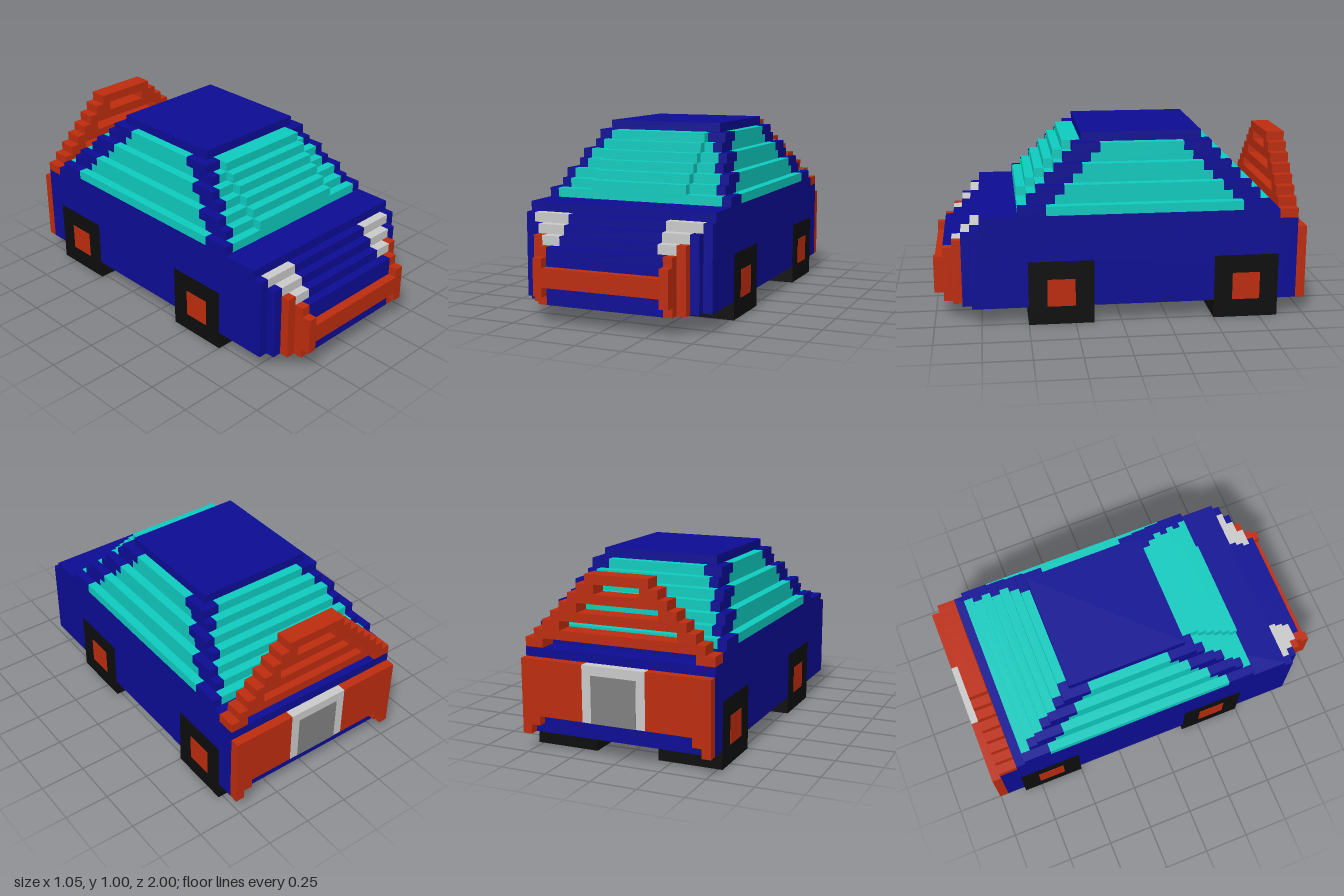
import * as THREE from 'three';

const U = 0.05; // block size
const mat = (name, hex) => {
  const m = new THREE.MeshStandardMaterial({ color: hex });
  m.name = name;
  return m;
};

export function createModel() {
  const blue = mat('body blue', 0x0c0c94);
  const cyan = mat('glass cyan', 0x0ecabe);
  const red = mat('trim red', 0xbc2c0e);
  const black = mat('tyre black', 0x0d0d0d);
  const white = mat('lamp white', 0xc9c9c9);
  const grey = mat('plate grey', 0x808080);

  const car = new THREE.Group();
  car.name = 'blockCar';
  const part = (name) => {
    const g = new THREE.Group();
    g.name = name;
    car.add(g);
    return g;
  };
  // Box given by its limits on each axis
  const box = (parent, name, m, x0, x1, y0, y1, z0, z1) => {
    const mesh = new THREE.Mesh(new THREE.BoxGeometry(x1 - x0, y1 - y0, z1 - z0), m);
    mesh.position.set((x0 + x1) / 2, (y0 + y1) / 2, (z0 + z1) / 2);
    mesh.name = name;
    parent.add(mesh);
  };
  // Same box on both sides
  const pair = (parent, name, m, x0, x1, ...rest) => {
    box(parent, name + 'Left', m, x0, x1, ...rest);
    box(parent, name + 'Right', m, -x1, -x0, ...rest);
  };

  // Lower body with gaps in the sides for the wheels
  const body = part('body');
  box(body, 'upperBody', blue, -0.525, 0.525, 0.35, 0.6, -0.85, 0.75);
  box(body, 'floor', blue, -0.475, 0.475, 0.1, 0.35, -0.85, 0.75);
  box(body, 'tail', blue, -0.525, 0.525, 0.1, 0.55, -0.95, -0.85);
  for (const [z0, z1] of [[-0.5, 0.15], [0.5, 0.75]]) {
    pair(body, 'sill', blue, 0.475, 0.525, 0.1, 0.35, z0, z1);
  }

  // Stepped nose: each slice is one block lower and narrower
  const nose = part('nose');
  for (let i = 0; i < 4; i++) {
    const z0 = 0.75 + i * U, z1 = z0 + U, top = 0.55 - i * U, hw = 0.525 - i * U;
    const side = i < 2 ? blue : red;
    pair(nose, i < 2 ? 'noseCorner' : 'bumperCorner', side, hw - U, hw, 0.1, top, z0, z1);
    const inner = hw - U;
    box(nose, 'noseSlice', blue, -inner, inner, 0.1, top - U, z0, z1);
    const mid = i < 3 ? 0.275 : inner;
    box(nose, 'noseTop', blue, -mid, mid, top - U, top, z0, z1);
    if (i < 3) pair(nose, 'headlight', white, 0.275, inner, top - U, top, z0, z1);
  }
  pair(nose, 'bumperEnd', red, 0.325, 0.375, 0.15, 0.35, 0.95, 1);
  box(nose, 'bumperBar', red, -0.325, 0.325, 0.2, 0.3, 0.95, 1);

  // Cabin layers: half width of the layer, half width of its front and rear glass
  const cabin = part('cabin');
  const layers = [
    [0.525, 0.475], [0.475, 0.425], [0.475, 0.425], [0.425, 0.375],
    [0.425, 0.375], [0.375, 0.325], [0.375, 0.275],
  ];
  layers.forEach(([hw, gw], i) => {
    const y0 = 0.6 + i * U, y1 = y0 + U;
    const front = 0.55 - i * U, rear = -0.8 + i * U;
    const sideFront = 0.4 - i * U, sideRear = -0.65 + i * U;
    box(cabin, 'cabinCore', blue, U - hw, hw - U, y0, y1, rear + U, front - U);
    for (const [name, z0] of [['windscreen', front - U], ['rearWindow', rear]]) {
      box(cabin, name, cyan, -gw, gw, y0, y1, z0, z0 + U);
      pair(cabin, 'pillar', blue, gw, hw, y0, y1, z0, z0 + U);
    }
    pair(cabin, 'sideWindow', cyan, hw - U, hw, y0, y1, sideRear, sideFront);
    pair(cabin, 'frontPillar', blue, hw - U, hw, y0, y1, sideFront, front - U);
    pair(cabin, 'rearPillar', blue, hw - U, hw, y0, y1, rear + U, sideRear);
    // Raised middle of the windscreen
    if (i > 0) box(cabin, 'windscreenMiddle', cyan, -0.275, 0.275, y0, y1, front, front + U);
  });
  box(cabin, 'roof', blue, -0.325, 0.325, 0.95, 1, -0.45, 0.2);

  // Slatted spoiler: bars alternate with open slots closed only at the ends
  const spoiler = part('spoiler');
  for (let i = 0; i < 8; i++) {
    const hw = 0.525 - i * U, y0 = 0.55 + i * U;
    if (i % 2) box(spoiler, 'spoilerBar', red, -hw, hw, y0, y0 + U, -0.95, -0.85);
    else pair(spoiler, 'spoilerEnd', red, hw - 2 * U, hw, y0, y0 + U, -0.95, -0.85);
  }

  // Rear panel and number plate
  const rearPanel = part('rearPanel');
  pair(rearPanel, 'rearCorner', red, 0.475, 0.525, 0.1, 0.5, -1, -0.95);
  pair(rearPanel, 'rearStep', red, 0.425, 0.475, 0.15, 0.5, -1, -0.95);
  pair(rearPanel, 'rearBumper', red, 0.175, 0.425, 0.2, 0.5, -1, -0.95);
  box(rearPanel, 'plateFrame', white, -0.175, 0.175, 0.2, 0.5, -1, -0.95);
  box(rearPanel, 'plate', grey, -0.125, 0.125, 0.2, 0.45, -1.002, -0.998);

  // Wheels with thin hub plates
  const wheels = part('wheels');
  for (const z of [0.325, -0.675]) {
    pair(wheels, 'wheel', black, 0.175, 0.525, 0, 0.35, z - 0.175, z + 0.175);
    pair(wheels, 'hub', red, 0.523, 0.527, 0.1, 0.25, z - 0.075, z + 0.075);
  }
  return car;
}
